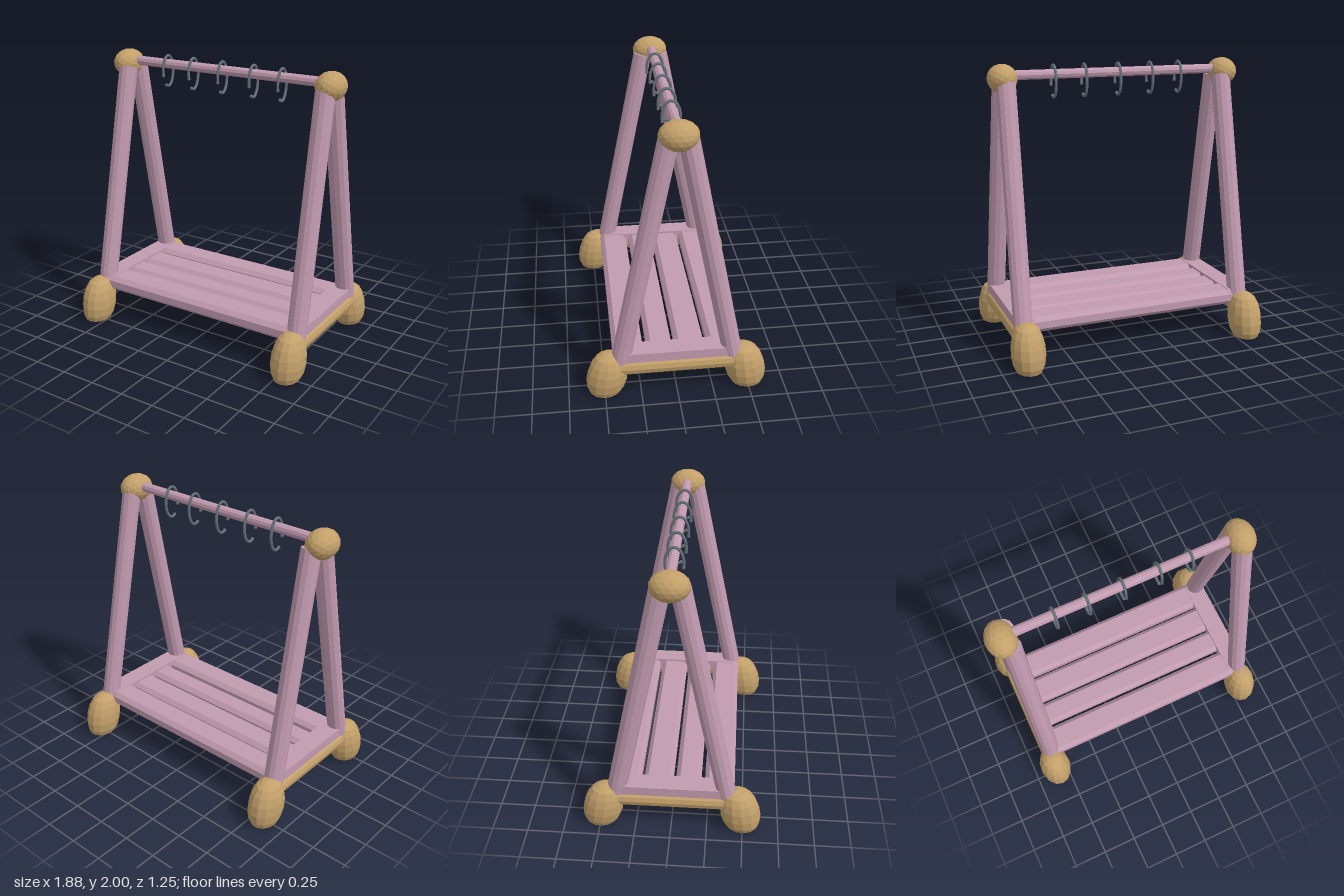
import * as THREE from 'three';

const material = (name, color) => {
  const m = new THREE.MeshStandardMaterial({ color });
  m.name = name;
  return m;
};

export function createModel() {
  const model = new THREE.Group();
  model.name = 'clothesRack';
  const pink = material('pinkWood', 0xc29bb0);
  const tan = material('tanWood', 0xc3a06a);
  const steel = material('greySteel', 0x67727a);

  const add = (name, geometry, mat, x = 0, y = 0, z = 0) => {
    const mesh = new THREE.Mesh(geometry, mat);
    mesh.name = name;
    mesh.position.set(x, y, z);
    model.add(mesh);
    return mesh;
  };
  const faceted = (geometry) => {
    const g = geometry.index ? geometry.toNonIndexed() : geometry;
    g.computeVertexNormals();
    return g;
  };

  // Straight round bar between two points
  const bar = (name, a, b, r, sides, mat) => {
    const start = new THREE.Vector3(...a), end = new THREE.Vector3(...b);
    const dir = end.clone().sub(start);
    const mesh = add(name, faceted(new THREE.CylinderGeometry(r, r, dir.length(), sides)), mat);
    mesh.position.copy(start).add(end).multiplyScalar(0.5);
    mesh.quaternion.setFromUnitVectors(new THREE.Vector3(0, 1, 0), dir.normalize());
    return mesh;
  };

  // Plank with chamfered edges, running along x
  const plank = (name, x0, x1, y0, y1, z0, z1, c) => {
    const w = (z1 - z0) / 2, h = (y1 - y0) / 2;
    const shape = new THREE.Shape([
      [-w + c, -h], [w - c, -h], [w, -h + c], [w, h - c],
      [w - c, h], [-w + c, h], [-w, h - c], [-w, -h + c],
    ].map(([u, v]) => new THREE.Vector2(u, v)));
    const g = new THREE.ExtrudeGeometry(shape, { depth: x1 - x0, bevelEnabled: false });
    g.rotateY(Math.PI / 2);
    return add(name, g, pink, x0, (y0 + y1) / 2, (z0 + z1) / 2);
  };

  // Egg-shaped foot with a hollow underneath, leaning outwards
  const footProfile = [
    [0, 0.03], [0.045, 0.03], [0.055, 0], [0.088, 0.004], [0.107, 0.045], [0.117, 0.11],
    [0.115, 0.18], [0.102, 0.24], [0.078, 0.29], [0.045, 0.315], [0, 0.325],
  ].map(([r, y]) => new THREE.Vector2(r, y));
  const footGeometry = (sz) => {
    const g = new THREE.LatheGeometry(footProfile, 13);
    const p = g.attributes.position;
    for (let i = 0; i < p.count; i++) {
      p.setZ(i, p.getZ(i) * 1.2 + sz * (0.5 - p.getY(i) * 0.14));
    }
    return faceted(g);
  };

  for (const s of [-1, 1]) {
    const x = s < 0 ? -0.835 : 0.815;
    // Top knob joining the two legs
    const knob = add('topKnob', faceted(new THREE.IcosahedronGeometry(1, 2)), tan, x - (s < 0 ? 0.01 : 0), 1.9, 0);
    knob.scale.set(0.103, 0.1, 0.13);
    for (const sz of [-1, 1]) {
      add('foot', footGeometry(sz), tan, x);
      bar('leg', [s * 0.82, 0.22, sz * 0.395], [s * 0.805, 1.88, sz * 0.06], 0.068, 12, pink);
    }
    // Cross rod between the feet and the end board above it
    bar('footRod', [s * 0.83, 0.22, -0.46], [s * 0.83, 0.22, 0.46], 0.067, 12, tan);
    plank('endBoard', s * 0.805 - 0.07, s * 0.805 + 0.07, 0.25, 0.335, -0.41, 0.41, 0.02);
  }

  // Shelf slats
  plank('outerSlat', -0.8, 0.8, 0.22, 0.33, -0.42, -0.22, 0.03);
  plank('innerSlat', -0.8, 0.8, 0.225, 0.32, -0.2, 0.005, 0.03);
  plank('innerSlat', -0.8, 0.8, 0.225, 0.32, 0.025, 0.202, 0.03);
  plank('outerSlat', -0.8, 0.8, 0.22, 0.33, 0.228, 0.437, 0.03);

  // Hanging rail
  bar('hangingRail', [-0.83, 1.92, -0.003], [0.81, 1.92, -0.003], 0.034, 10, pink);

  // Open hooks looped over the rail
  const hookPoints = [];
  for (let i = 0; i <= 20; i++) {
    const a = THREE.MathUtils.degToRad(-15 + (i / 20) * 310);
    hookPoints.push(new THREE.Vector3(0, 1.87 + Math.sin(a) * 0.111, Math.cos(a) * 0.06));
  }
  const hookGeometry = new THREE.TubeGeometry(new THREE.CatmullRomCurve3(hookPoints), 36, 0.01, 7);
  const tips = [hookPoints[0], hookPoints[hookPoints.length - 1]];
  for (const x of [-0.487, -0.265, -0.02, 0.232, 0.455]) {
    add('hook', hookGeometry, steel, x);
    for (const t of tips) add('hookTip', new THREE.SphereGeometry(0.012, 8, 6), steel, x, t.y, t.z);
  }
  return model;
}
